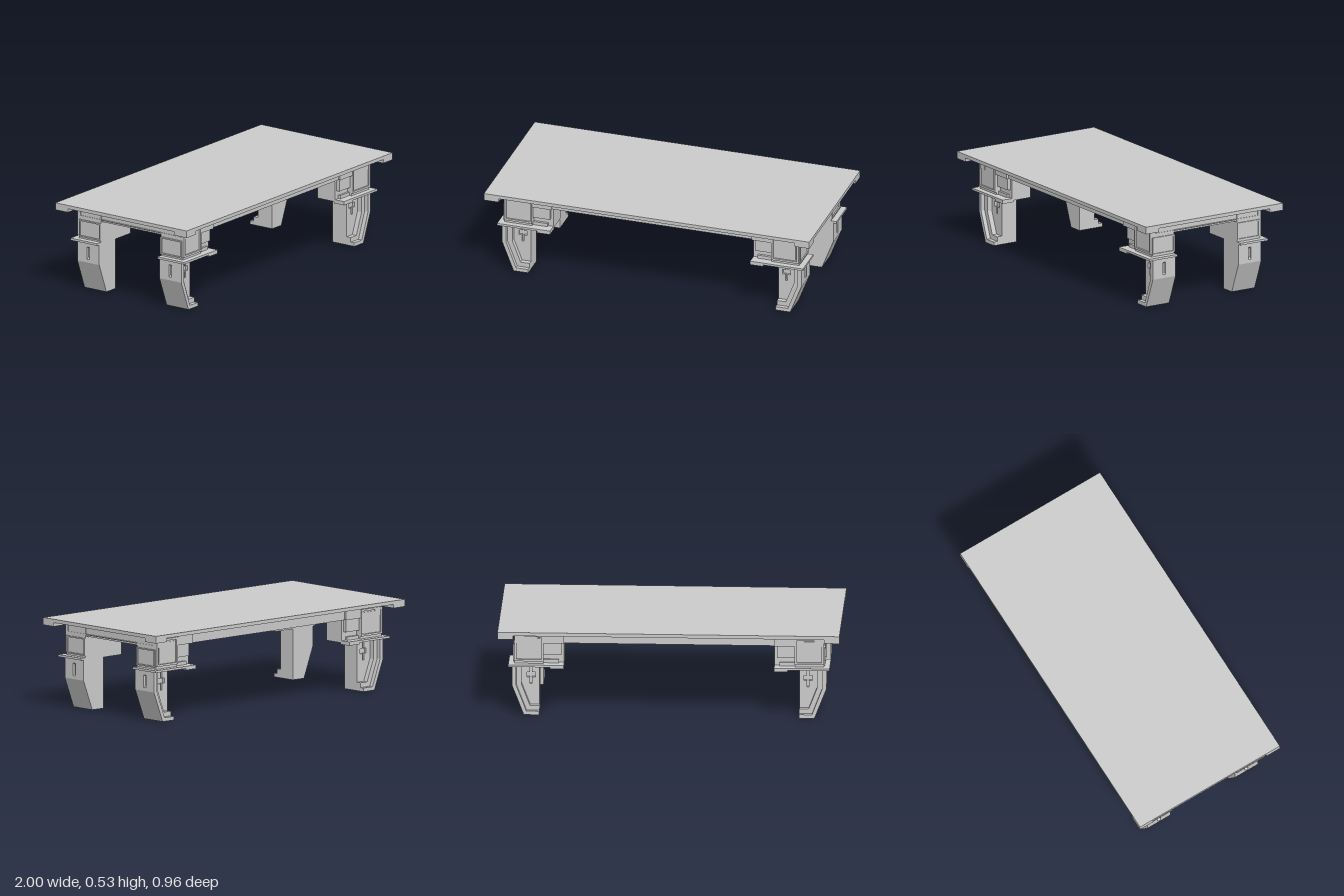
import * as THREE from 'three';

const material = new THREE.MeshStandardMaterial({ color: 0xcccccc, flatShading: true });

function add(parent, name, geometry) {
  const mesh = new THREE.Mesh(geometry, material);
  mesh.name = name;
  parent.add(mesh);
  return mesh;
}

// Box given by its limits on each axis
function box(parent, name, x0, x1, y0, y1, z0, z1) {
  const mesh = add(parent, name, new THREE.BoxGeometry(x1 - x0, y1 - y0, z1 - z0));
  mesh.position.set((x0 + x1) / 2, (y0 + y1) / 2, (z0 + z1) / 2);
  return mesh;
}

const points = (list) => list.map(([x, y]) => new THREE.Vector2(x, y));

// Flat outline with optional holes, extruded from z0 to z1
function slab(parent, name, outline, z0, z1, holes = []) {
  const shape = new THREE.Shape(points(outline));
  holes.forEach((h) => shape.holes.push(new THREE.Path(points(h))));
  const geometry = new THREE.ExtrudeGeometry(shape, { depth: z1 - z0, bevelEnabled: false });
  geometry.translate(0, 0, z0);
  return add(parent, name, geometry);
}

const rect = (x0, x1, y0, y1) => [[x0, y0], [x1, y0], [x1, y1], [x0, y1]];

// Rectangular rim standing out along z
function rim(parent, name, x0, x1, y0, y1, z0, z1, w) {
  return slab(parent, name, rect(x0, x1, y0, y1), z0, z1, [rect(x0 + w, x1 - w, y0 + w, y1 - w)]);
}

// The same rim facing +x: a runs along z
function sideRim(parent, name, a0, a1, y0, y1, x0, x1, w) {
  const mesh = rim(parent, name, -a1, -a0, y0, y1, x0, x1, w);
  mesh.rotation.y = Math.PI / 2;
  return mesh;
}

// Tapered leg with stepped outer face, cross cut and side slot
function buildLeg() {
  const leg = new THREE.Group();
  leg.name = 'leg';
  const profile = [[0.76, 0], [0.85, 0], [0.92, 0.18], [0.92, 0.305], [0.76, 0.305]];
  const slotted = [[0.76, 0], [0.85, 0], [0.92, 0.18], [0.92, 0.2], [0.905, 0.21],
    [0.905, 0.265], [0.92, 0.275], [0.92, 0.305], [0.76, 0.305]];
  const cross = [[0.804, 0.175], [0.816, 0.175], [0.816, 0.215], [0.835, 0.215],
    [0.835, 0.245], [0.816, 0.245], [0.816, 0.285], [0.804, 0.285],
    [0.804, 0.245], [0.785, 0.245], [0.785, 0.215], [0.804, 0.215]];
  slab(leg, 'legInner', profile, 0.22, 0.29);
  slab(leg, 'legSlotted', slotted, 0.29, 0.31);
  slab(leg, 'legPanel', profile, 0.31, 0.325, [cross]);
  // Boot-shaped rims, open towards the inner side
  slab(leg, 'legMiddleRim', [[0.76, 0], [0.85, 0], [0.92, 0.18], [0.92, 0.305], [0.865, 0.305],
    [0.865, 0.18], [0.815, 0.05], [0.76, 0.05]], 0.325, 0.355);
  slab(leg, 'legOuterRim', [[0.76, 0], [0.85, 0], [0.92, 0.18], [0.92, 0.305], [0.895, 0.305],
    [0.895, 0.18], [0.835, 0.022], [0.76, 0.022]], 0.355, 0.38);
  return leg;
}

// One corner of the table: leg, base plate, block and pad
function buildCorner() {
  const corner = new THREE.Group();
  corner.name = 'corner';
  corner.add(buildLeg());

  box(corner, 'basePlate', 0.615, 0.94, 0.302, 0.315, 0.22, 0.415);
  box(corner, 'basePlateTab', 0.615, 0.695, 0.292, 0.302, 0.34, 0.415);

  box(corner, 'cornerBlock', 0.735, 0.905, 0.315, 0.51, 0.22, 0.38);
  rim(corner, 'frontPanelRim', 0.735, 0.905, 0.33, 0.49, 0.38, 0.39, 0.012);
  box(corner, 'frontPanel', 0.755, 0.885, 0.35, 0.47, 0.38, 0.384);
  sideRim(corner, 'sidePanelRim', 0.22, 0.375, 0.325, 0.43, 0.905, 0.912, 0.008);

  // Shorter block towards the middle, with a stepped bracket
  box(corner, 'innerBlock', 0.615, 0.735, 0.315, 0.445, 0.22, 0.35);
  box(corner, 'bracket', 0.63, 0.735, 0.365, 0.44, 0.35, 0.37);
  box(corner, 'bracketFoot', 0.645, 0.735, 0.315, 0.335, 0.35, 0.365);
  box(corner, 'railCap', 0.615, 0.735, 0.44, 0.51, 0.375, 0.387);

  box(corner, 'cornerPad', 0.91, 1, 0.49, 0.515, 0.39, 0.48);
  return corner;
}

export function createModel() {
  const model = new THREE.Group();
  model.name = 'table';

  box(model, 'tableTop', -1, 1, 0.512, 0.533, -0.48, 0.48);

  for (const sx of [1, -1]) {
    for (const sz of [1, -1]) {
      const corner = buildCorner();
      corner.scale.set(sx, 1, sz);
      model.add(corner);
    }
  }

  // Long rails under the front and back
  for (const s of [1, -1]) {
    const rail = new THREE.Group();
    rail.name = 'longRail';
    box(rail, 'railBeam', -0.74, 0.74, 0.44, 0.512, 0.325, 0.375);
    box(rail, 'railLedge', -0.735, 0.735, 0.497, 0.512, 0.375, 0.39);
    rail.scale.z = s;
    model.add(rail);
  }

  // End rails with a framed panel
  for (const s of [1, -1]) {
    const rail = new THREE.Group();
    rail.name = 'endRail';
    box(rail, 'railBeam', 0.85, 0.9, 0.44, 0.512, -0.385, 0.385);
    sideRim(rail, 'railPanelRim', -0.37, 0.37, 0.45, 0.503, 0.9, 0.908, 0.005);
    rail.scale.x = s;
    model.add(rail);
  }

  return model;
}
